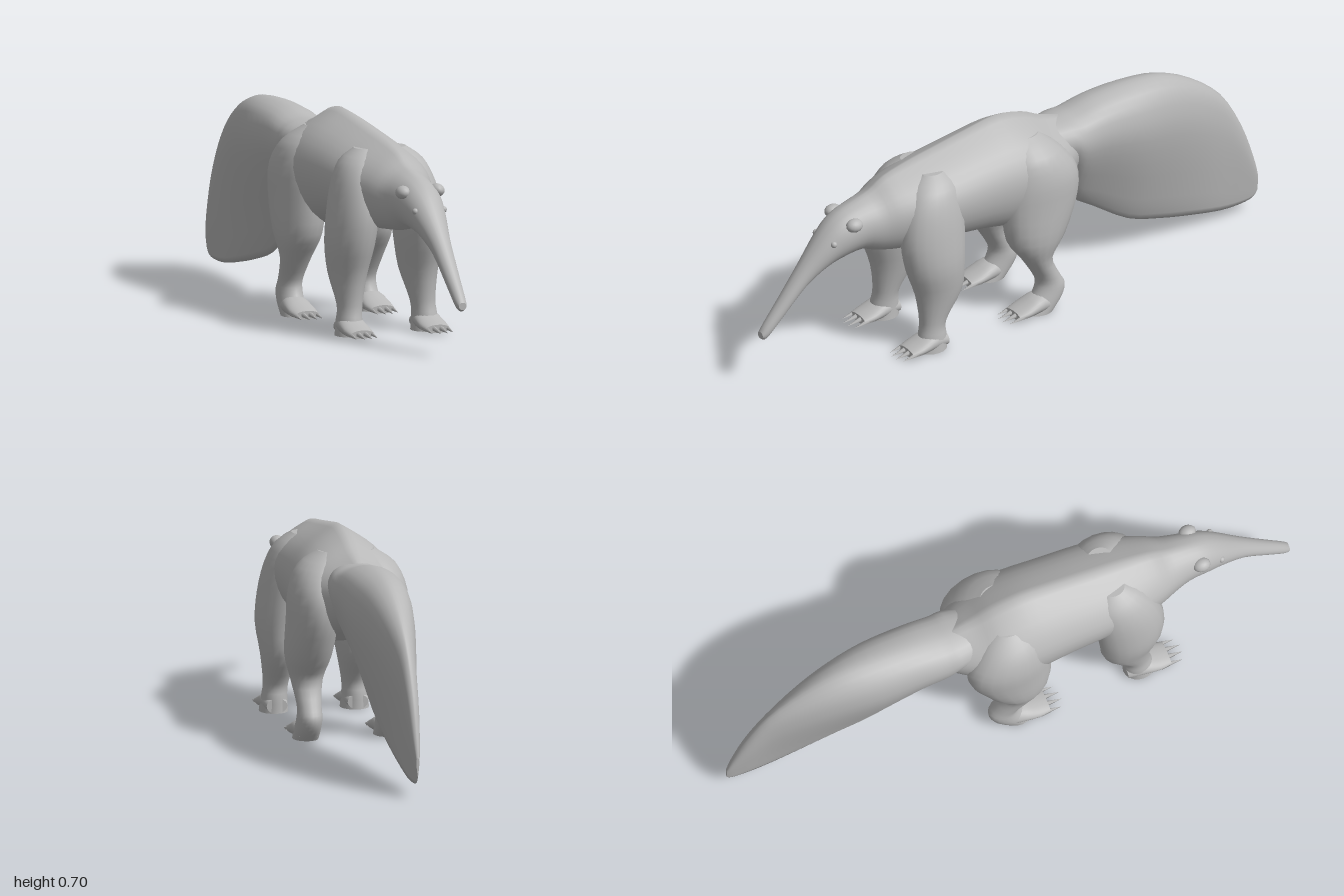
import * as THREE from 'three';

// Catmull-Rom resampling of rows of numbers
function resample(rows, n) {
  const out = [];
  const at = (i) => rows[Math.min(rows.length - 1, Math.max(0, i))];
  for (let i = 0; i < rows.length - 1; i++) {
    for (let s = 0; s < n; s++) {
      const t = s / n;
      out.push(rows[i].map((p1, c) => {
        const p0 = at(i - 1)[c], p2 = at(i + 1)[c], p3 = at(i + 2)[c];
        return 0.5 * (2 * p1 + (p2 - p0) * t + (2 * p0 - 5 * p1 + 4 * p2 - p3) * t * t
          + (3 * p1 - p0 - 3 * p2 + p3) * t * t * t);
      }));
    }
  }
  out.push(rows[rows.length - 1].slice());
  return out;
}

// Skin over closed rings, capped at both ends
function loft(rings) {
  const m = rings[0].length, pos = [], idx = [];
  rings.forEach((r) => r.forEach((p) => pos.push(...p)));
  for (let i = 0; i < rings.length - 1; i++) {
    for (let j = 0; j < m; j++) {
      const a = i * m + j, b = i * m + (j + 1) % m;
      idx.push(a, b, b + m, a, b + m, a + m);
    }
  }
  [0, rings.length - 1].forEach((i) => {
    const start = pos.length / 3;
    const c = [0, 1, 2].map((k) => rings[i].reduce((s, p) => s + p[k], 0) / m);
    rings[i].forEach((p) => pos.push(...p));
    pos.push(...c);
    for (let j = 0; j < m; j++) {
      const a = start + j, b = start + (j + 1) % m;
      if (i === 0) idx.push(start + m, b, a); else idx.push(start + m, a, b);
    }
  });
  const g = new THREE.BufferGeometry();
  g.setAttribute('position', new THREE.Float32BufferAttribute(pos, 3));
  g.setIndex(idx);
  g.computeVertexNormals();
  return g;
}

// Half profiles from bottom to top: [width fraction, height fraction]
const OVAL = Array.from({ length: 9 }, (_, i) => {
  const a = (i / 8) * Math.PI;
  return [Math.sin(a), 0.5 - 0.5 * Math.cos(a)];
});
const RIDGED = [[0, 0], [0.38, 0.02], [0.75, 0.12], [0.95, 0.3], [1, 0.5], [0.9, 0.66], [0.66, 0.8], [0.33, 0.91], [0, 1]];
const WEDGE = [[0, 0], [0.22, 0.1], [0.45, 0.25], [0.75, 0.45], [0.96, 0.64], [0.98, 0.78], [0.8, 0.91], [0.4, 0.98], [0, 1]];

// Sections along z: [z, bottom, top, half width, blend from oval to profile]
function loftZ(rows, profile, cx = 0, n = 3) {
  return loft(resample(rows, n).map(([z, b, t, w, k]) => {
    const half = resample(OVAL.map((o, i) => o.map((v, c) => v + (profile[i][c] - v) * k)), 2);
    const right = half.map(([u, v]) => [cx + u * w, b + v * (t - b), z]);
    const left = half.slice(1, -1).reverse().map(([u, v]) => [cx - u * w, b + v * (t - b), z]);
    return [...right, ...left];
  }));
}

// Sections along y: [y, cx, cz, rx, rz]
function loftY(rows, side) {
  return loft(resample(rows, 3).map(([y, cx, cz, rx, rz]) => Array.from({ length: 20 }, (_, j) => {
    const a = (j / 20) * Math.PI * 2;
    return [side * cx + Math.cos(a) * rx, y, cz - Math.sin(a) * rz];
  })));
}

const BODY = [
  [-0.24, 0.43, 0.60, 0.08, 1], [-0.19, 0.39, 0.62, 0.11, 1], [-0.12, 0.36, 0.643, 0.15, 1],
  [-0.05, 0.33, 0.677, 0.172, 1], [0.05, 0.31, 0.697, 0.172, 1], [0.17, 0.33, 0.68, 0.165, 1],
  [0.30, 0.345, 0.657, 0.16, 1], [0.40, 0.35, 0.64, 0.15, 1], [0.50, 0.355, 0.615, 0.12, 0.9],
  [0.56, 0.365, 0.58, 0.096, 0.6], [0.62, 0.385, 0.56, 0.08, 0.3], [0.69, 0.375, 0.535, 0.07, 0],
  [0.75, 0.355, 0.49, 0.056, 0], [0.83, 0.305, 0.397, 0.036, 0], [0.92, 0.217, 0.287, 0.026, 0],
  [0.98, 0.16, 0.215, 0.02, 0], [1.0, 0.163, 0.187, 0.014, 0],
];
const TAIL = [
  [-1.0, 0.07, 0.135, 0.005, 1], [-0.98, 0.047, 0.21, 0.012, 1], [-0.93, 0.038, 0.345, 0.022, 1],
  [-0.85, 0.04, 0.48, 0.034, 1], [-0.73, 0.062, 0.58, 0.062, 1], [-0.61, 0.09, 0.635, 0.086, 1],
  [-0.48, 0.132, 0.65, 0.104, 1], [-0.34, 0.225, 0.642, 0.106, 1], [-0.25, 0.29, 0.623, 0.106, 0.9],
  [-0.20, 0.395, 0.617, 0.105, 0.7], [-0.12, 0.42, 0.61, 0.09, 0.4],
];
const FRONT_LEG = [
  [0, 0.137, 0.41, 0.048, 0.055], [0.05, 0.136, 0.405, 0.043, 0.05], [0.1, 0.132, 0.4, 0.042, 0.047],
  [0.2, 0.128, 0.374, 0.06, 0.086], [0.3, 0.125, 0.385, 0.077, 0.108], [0.4, 0.115, 0.387, 0.079, 0.118],
  [0.5, 0.1, 0.375, 0.074, 0.11], [0.57, 0.08, 0.36, 0.062, 0.085], [0.61, 0.06, 0.35, 0.03, 0.04],
];
const HIND_LEG = [
  [0, 0.137, -0.022, 0.043, 0.052], [0.04, 0.136, -0.05, 0.043, 0.06], [0.08, 0.134, -0.068, 0.042, 0.055],
  [0.12, 0.133, -0.058, 0.041, 0.044], [0.2, 0.132, -0.018, 0.054, 0.052], [0.28, 0.127, -0.018, 0.076, 0.107],
  [0.4, 0.118, -0.04, 0.083, 0.142], [0.5, 0.11, -0.045, 0.086, 0.138], [0.58, 0.09, -0.03, 0.075, 0.1],
  [0.63, 0.06, -0.02, 0.035, 0.05],
];

export function createModel() {
  const model = new THREE.Group();
  const hide = new THREE.MeshStandardMaterial({ color: 0xb8b8b8 });
  hide.name = 'grey hide';
  const add = (name, geometry, parent = model) => {
    const mesh = new THREE.Mesh(geometry, hide);
    mesh.name = name;
    parent.add(mesh);
    return mesh;
  };

  add('bodyAndSnout', loftZ(BODY, RIDGED));
  add('bushyTail', loftZ(TAIL, WEDGE));

  for (const side of [1, -1]) {
    const label = side > 0 ? 'left' : 'right';

    // Legs with flat paws and claws
    for (const [kind, rows, heel] of [['Front', FRONT_LEG, 0.36], ['Hind', HIND_LEG, -0.07]]) {
      const leg = new THREE.Group();
      leg.name = `${label}${kind}Leg`;
      model.add(leg);
      add('limb', loftY(rows, side), leg);
      add('paw', loftZ([
        [heel, 0, 0.05, 0.035, 0], [heel + 0.05, 0, 0.068, 0.046, 0],
        [heel + 0.11, 0, 0.045, 0.049, 0], [heel + 0.15, 0.002, 0.03, 0.042, 0],
      ], OVAL, side * 0.137), leg);
      for (let i = 0; i < 4; i++) {
        const claw = new THREE.ConeGeometry(0.012, 0.075, 6).rotateX(Math.PI / 2 + 0.16);
        const reach = heel + (i === 1 || i === 2 ? 0.165 : 0.152);
        add('claw', claw, leg).position.set(side * 0.137 + (i - 1.5) * 0.025, 0.014, reach);
      }
    }

    // Ears and eyes
    const ear = add(`${label}Ear`, new THREE.SphereGeometry(1, 14, 10));
    ear.scale.set(0.024, 0.022, 0.03);
    ear.position.set(side * 0.062, 0.508, 0.665);
    ear.rotation.z = -side * 0.35;
    const eye = add(`${label}Eye`, new THREE.SphereGeometry(0.011, 12, 8));
    eye.position.set(side * 0.051, 0.455, 0.74);
  }
  return model;
}
